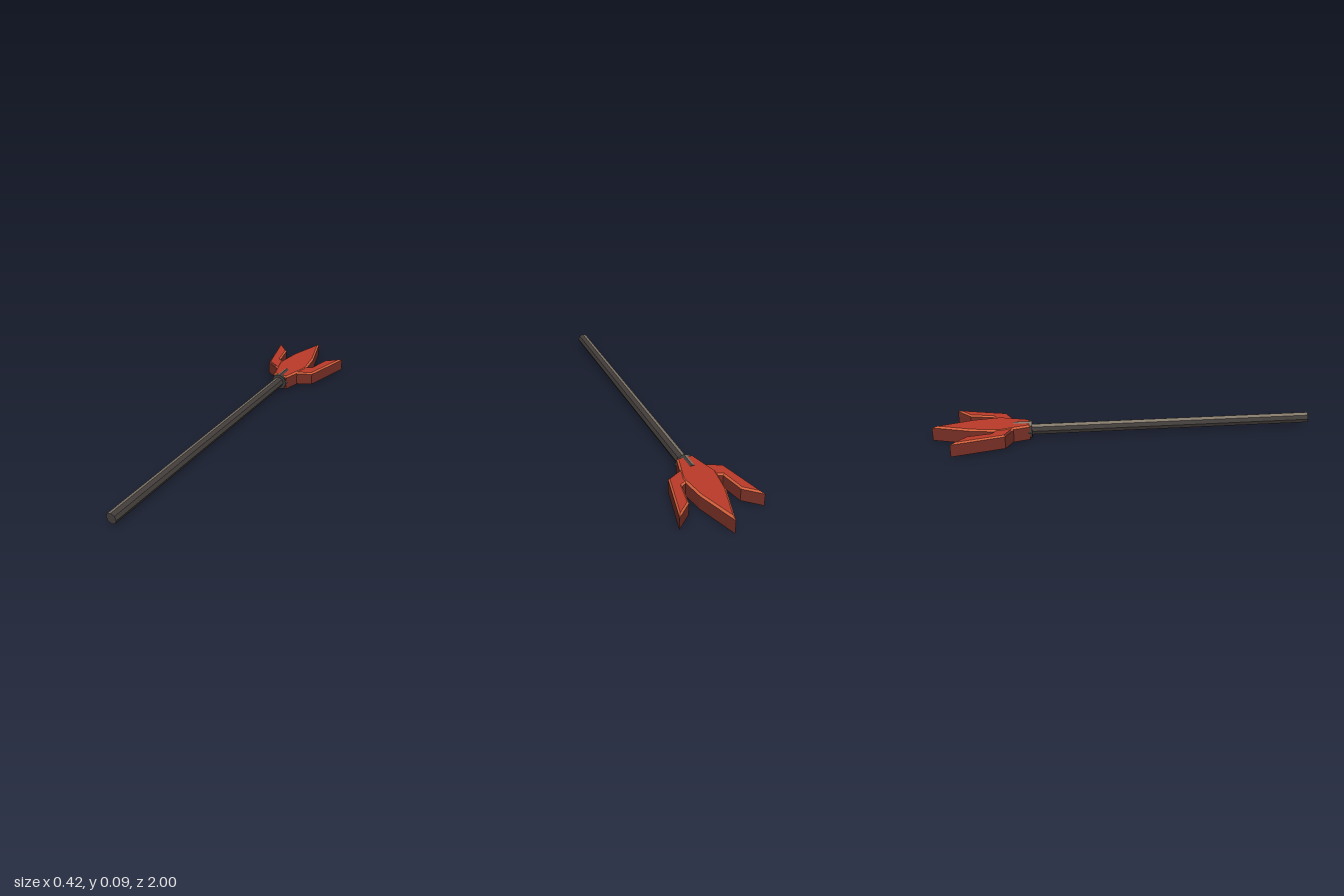
import * as THREE from 'three';

const red = new THREE.MeshStandardMaterial({ name: 'bladeRed', color: 0xbc3a29 });
const orange = new THREE.MeshStandardMaterial({ name: 'edgeOrange', color: 0xd4603c });
const maroon = new THREE.MeshStandardMaterial({ name: 'wallMaroon', color: 0x762f25 });
const iron = new THREE.MeshStandardMaterial({ name: 'darkIron', color: 0x423d3b, flatShading: true });
const shine = new THREE.MeshStandardMaterial({ name: 'paleIron', color: 0x82786a, flatShading: true });
const axisY = 0.046;

// Shift a counter-clockwise outline inwards by distance d, with mitred corners
function inset(points, d) {
  const n = points.length;
  const normal = (a, b) => new THREE.Vector2(a.y - b.y, b.x - a.x).normalize();
  return points.map((p, i) => {
    const n1 = normal(points[(i + n - 1) % n], p);
    const n2 = normal(p, points[(i + 1) % n]);
    const m = n1.clone().add(n2);
    return p.clone().addScaledVector(m, d / (1 + n1.dot(n2)));
  });
}

// Flat plate with a bevel around its upper edge; the outline is (x, -z).
// The bevel on edge number darkEdge keeps the wall colour.
function plate(name, outline, y0, y1, bevel, darkEdge = -1) {
  const rim = outline.map(([x, v]) => new THREE.Vector2(x, v));
  const inner = inset(rim, bevel);
  const geo = new THREE.BufferGeometry();
  const pos = [];
  let start = 0;
  const put = (p, y) => pos.push(p.x, y, -p.y);
  const band = (lo, yLo, hi, yHi, wanted) => lo.forEach((a, i) => {
    if (!wanted(i)) return;
    const j = (i + 1) % lo.length;
    put(a, yLo); put(lo[j], yLo); put(hi[j], yHi);
    put(a, yLo); put(hi[j], yHi); put(hi[i], yHi);
  });
  const cap = (loop, y, up) => THREE.ShapeUtils.triangulateShape(loop, []).forEach(([a, b, c]) => {
    const ccw = THREE.ShapeUtils.area([loop[a], loop[b], loop[c]]) > 0;
    (ccw === up ? [a, b, c] : [a, c, b]).forEach((k) => put(loop[k], y));
  });
  const endGroup = (material) => {
    geo.addGroup(start, pos.length / 3 - start, material);
    start = pos.length / 3;
  };
  // walls and underside
  band(rim, y0, rim, y1 - bevel, () => true);
  band(rim, y1 - bevel, inner, y1, (i) => i === darkEdge);
  cap(rim, y0, false);
  endGroup(0);
  // bevel
  band(rim, y1 - bevel, inner, y1, (i) => i !== darkEdge);
  endGroup(1);
  // upper face
  cap(inner, y1, true);
  endGroup(2);
  geo.setAttribute('position', new THREE.Float32BufferAttribute(pos, 3));
  geo.computeVertexNormals();
  const mesh = new THREE.Mesh(geo, [maroon, orange, red]);
  mesh.name = name;
  return mesh;
}

// Eight-sided rod along z, with one pale face at the upper right
function rod(name, radius, z0, z1) {
  const geo = new THREE.CylinderGeometry(radius, radius, z1 - z0, 8);
  geo.rotateX(Math.PI / 2);
  geo.clearGroups();
  geo.addGroup(0, 24, 0);
  geo.addGroup(24, 6, 1);
  geo.addGroup(30, geo.index.count - 30, 0);
  const mesh = new THREE.Mesh(geo, [iron, shine]);
  mesh.name = name;
  mesh.position.set(0, axisY, (z0 + z1) / 2);
  return mesh;
}

export function createModel() {
  const model = new THREE.Group();
  model.name = 'trident';
  model.add(rod('shaft', 0.029, -0.52, 1));
  model.add(rod('collar', 0.046, -0.58, -0.485));

  // Central leaf-shaped blade
  const half = [[0.042, 0.495], [0.086, 0.65], [0.066, 0.79]];
  const mirror = (pts) => pts.map(([x, v]) => [-x, v]).reverse();
  model.add(plate('centreBlade', [...half, [0, 1], ...mirror(half)], 0.007, 0.087, 0.009));

  // Side prongs, rooted inside the central blade
  const prong = [[0.01, 0.55], [0.08, 0.587], [0.143, 0.62], [0.211, 0.887],
    [0.13, 0.812], [0.105, 0.69], [0.06, 0.667], [0.01, 0.65]];
  model.add(plate('leftProng', prong, 0.01, 0.083, 0.008));
  model.add(plate('rightProng', mirror(prong), 0.01, 0.083, 0.008, 5));
  return model;
}
